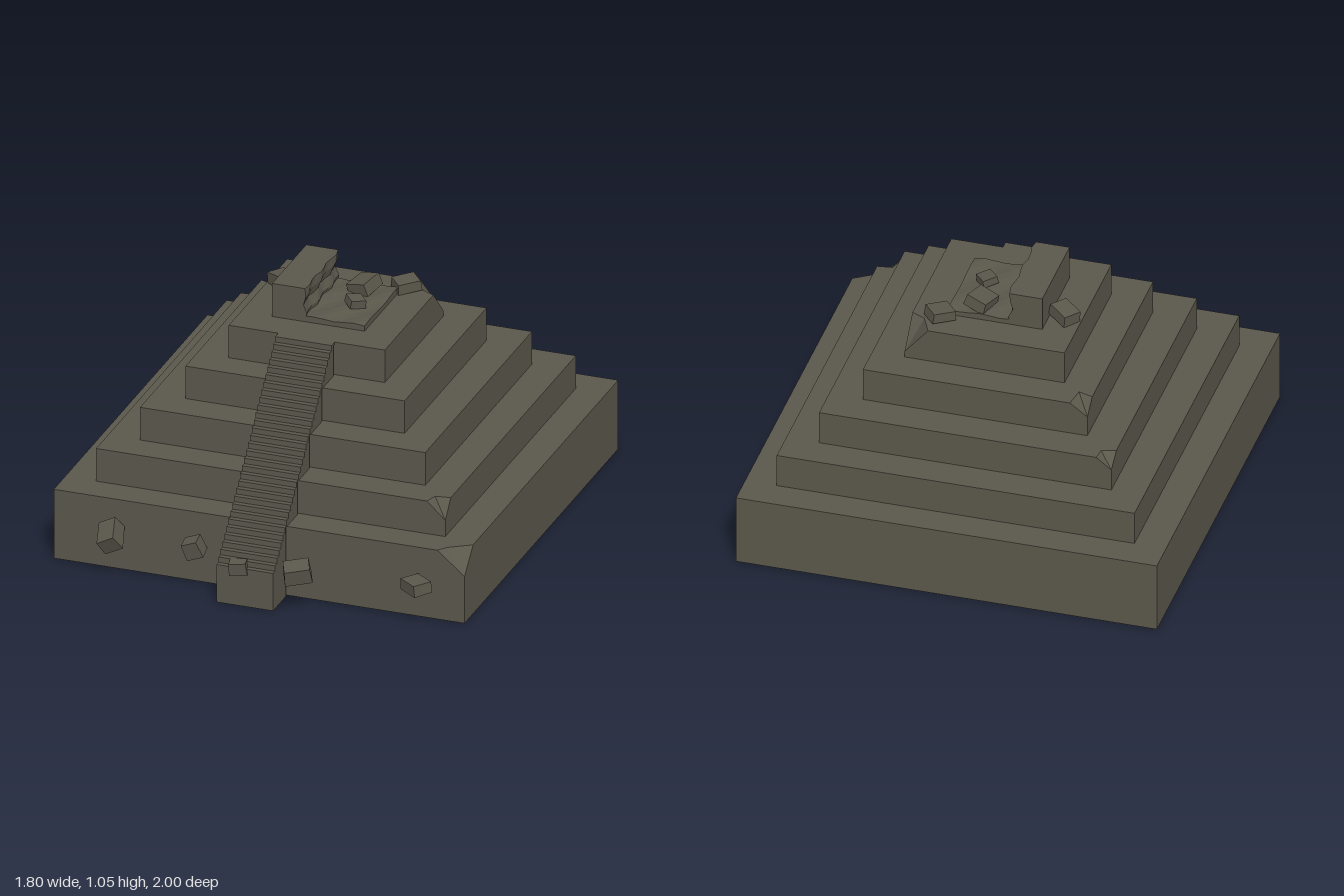
import * as THREE from 'three';

const CZ = -0.1; // z of the pyramid axis
const HALF = [0.9, 0.765, 0.625, 0.48, 0.342];
const LEVEL = [0, 0.312, 0.46, 0.608, 0.755, 0.902];

// Broken corners, as insets from the corner: a along x, b along z, m = inner top point,
// d = depth down the vertical edge, e = extra break point on the z face (inset, depth)
const CHIPS = [
  { sx: 1, sz: 1, a: 0.12, b: 0.1, m: [0.09, 0.04], d: 0.1, e: [0.05, 0.115] },
  { sx: 1, sz: 1, a: 0.08, b: 0.065, m: [0.065, 0.055], d: 0.075, e: [0.07, 0.03] },
  { sx: -1, sz: -1, a: 0.065, b: 0.072, m: [0.06, 0.055], d: 0.05, e: [0.045, 0.03] },
  { sx: -1, sz: -1, a: 0.075, b: 0.07, m: [0.062, 0.09], d: 0.055, e: [0.05, 0.035] },
  { sx: 1, sz: -1, a: 0.1, b: 0.115, m: [0.06, 0.085], d: 0.12, e: [0.05, 0.08] },
];

function flat(geometry) {
  const g = geometry.index ? geometry.toNonIndexed() : geometry;
  g.computeVertexNormals();
  return g;
}

// Square terrace with one broken corner; every face is a fan around a centre point
function terraceGeometry(h, y0, y1, chip) {
  const pos = [];
  const tri = (...pts) => pts.forEach((p) => pos.push(p[0], p[1], p[2] + CZ));
  const fan = (c, pts) => pts.forEach((p, i) => tri(c, p, pts[(i + 1) % pts.length]));

  // corners counter-clockwise seen from above
  const corners = [[1, 1], [1, -1], [-1, -1], [-1, 1]].map(([sx, sz]) => {
    const base = [sx * h, y0, sz * h];
    if (sx !== chip.sx || sz !== chip.sz) {
      const top = [sx * h, y1, sz * h];
      return { base, top: [top], arrive: [top], leave: [top] };
    }
    const at = (u, down, v) => [sx * (h - u), y1 - down, sz * (h - v)];
    const A = at(chip.a, 0, 0), M = at(chip.m[0], 0, chip.m[1]), B = at(0, 0, chip.b);
    const C = at(0, chip.d, 0), E = at(chip.e[0], chip.e[1], 0);
    const onZ = [C, E, A], onX = [C, B]; // bottom to top on the two walls
    const zFirst = sx * sz > 0;          // z wall comes before this corner
    const rim = [E, A, M, B];
    for (let i = 0; i < 3; i++) {
      if (zFirst) tri(C, rim[i + 1], rim[i]);
      else tri(C, rim[i], rim[i + 1]);
    }
    return {
      base,
      top: zFirst ? [A, M, B] : [B, M, A],
      arrive: zFirst ? onZ : onX,
      leave: (zFirst ? onX : onZ).slice().reverse(),
    };
  });

  fan([0, y1, 0], corners.flatMap((c) => c.top));
  fan([0, y0, 0], corners.map((c) => c.base).reverse());
  corners.forEach((p, i) => {
    const q = corners[(i + 1) % 4];
    const mid = p.base.map((v, k) => (v + q.base[k]) / 2);
    fan(mid, [p.base, q.base, ...q.arrive, ...p.leave]);
  });
  const g = new THREE.BufferGeometry();
  g.setAttribute('position', new THREE.Float32BufferAttribute(pos, 3));
  return flat(g);
}

// Stair side profile: treads down the front, stepped back that follows the terraces
function stairGeometry() {
  const n = 30, zTop = 0.278, zEnd = 0.963, yEnd = 0.17, yTop = 0.902;
  const run = (zEnd - zTop) / n, rise = (yTop - yEnd) / n;
  const pts = [[HALF[4] + CZ, yTop], [zTop, yTop]];
  for (let i = 0; i < n; i++) {
    pts.push([zTop + i * run, yTop - (i + 1) * rise]);
    pts.push([zTop + (i + 1) * run, yTop - (i + 1) * rise]);
  }
  pts.push([zEnd, 0]);
  HALF.forEach((h, i) => {
    const z = h + CZ + 0.012;
    pts.push([z, LEVEL[i]]);
    pts.push([z, i < 4 ? LEVEL[i + 1] : yTop - 0.01]);
  });
  pts.push([HALF[4] + CZ, yTop - 0.01]);
  const shape = new THREE.Shape(pts.map(([z, y]) => new THREE.Vector2(-z, y)));
  const g = new THREE.ExtrudeGeometry(shape, { depth: 0.247, bevelEnabled: false });
  g.rotateY(Math.PI / 2); // profile -z becomes world z, depth runs along x
  g.translate(-0.125, 0, 0);
  return flat(g);
}

// Box whose vertices are shifted by a rule
function ruledBox(size, segments, centre, rule) {
  const g = new THREE.BoxGeometry(...size, ...segments).translate(...centre);
  const p = g.attributes.position, v = new THREE.Vector3();
  for (let i = 0; i < p.count; i++) {
    rule(v.fromBufferAttribute(p, i));
    p.setXYZ(i, v.x, v.y, v.z);
  }
  return flat(g);
}

export function createModel() {
  const model = new THREE.Group();
  model.name = 'steppedPyramid';
  const stone = new THREE.MeshStandardMaterial({ color: 0x5a574b });
  stone.name = 'weatheredStone';
  const add = (name, geometry) => {
    const mesh = new THREE.Mesh(geometry, stone);
    mesh.name = name;
    model.add(mesh);
    return mesh;
  };

  HALF.forEach((h, i) => add(`terrace${i + 1}`, terraceGeometry(h, LEVEL[i], LEVEL[i + 1], CHIPS[i])));
  add('stairway', stairGeometry());

  // Ruined shrine: one standing wall with a jagged break, and the low broken floor
  add('shrineWall', ruledBox([0.14, 0.15, 0.4], [1, 4, 9], [-0.135, 0.977, CZ], (v) => {
    if (v.x > -0.1) v.x += 0.009 * Math.sin(v.y * 60 + 2.4) + 0.006 * Math.sin(v.z * 41 + v.y * 17);
  }));
  add('shrineFloor', ruledBox([0.27, 0.024, 0.4], [6, 1, 8], [0.065, 0.914, CZ], (v) => {
    if (v.y > 0.91) v.y += 0.004 * Math.sin(v.x * 37 + v.z * 23);
  }));

  // Loose blocks: position, size, rotation
  const blocks = [
    [[-0.625, 0.18, 0.872], [0.085, 0.075, 0.115], [0.45, 0.25, 0.4]],
    [[-0.264, 0.18, 0.86], [0.075, 0.075, 0.07], [0.15, 0.1, 0.35]],
    [[-0.033, 0.17, 0.955], [0.077, 0.055, 0.05], [0.1, 0.2, 0.08]],
    [[0.215, 0.178, 0.93], [0.115, 0.07, 0.085], [0.25, 0.42, 0.03]],
    [[0.715, 0.175, 0.875], [0.11, 0.05, 0.085], [0.05, -0.65, 0.05]],
    [[-0.272, 0.932, -0.2], [0.11, 0.055, 0.08], [0.05, -0.65, 0.18]],
    [[0.075, 0.95, -0.23], [0.1, 0.055, 0.11], [0.15, -0.25, 0.28]],
    [[0.098, 0.948, -0.068], [0.07, 0.035, 0.07], [0.1, 0.7, -0.2]],
    [[0.22, 0.93, -0.337], [0.105, 0.045, 0.09], [0.04, 0.7, 0.06]],
  ];
  blocks.forEach(([position, size, rotation], i) => {
    const block = add(`looseBlock${i + 1}`, ruledBox(size, [1, 1, 1], [0, 0, 0], (v) => {
      if (v.y > 0) v.x *= 0.92;
      if (v.z < 0) v.y *= 0.93;
    }));
    block.position.set(...position);
    block.rotation.set(...rotation);
  });
  return model;
}
